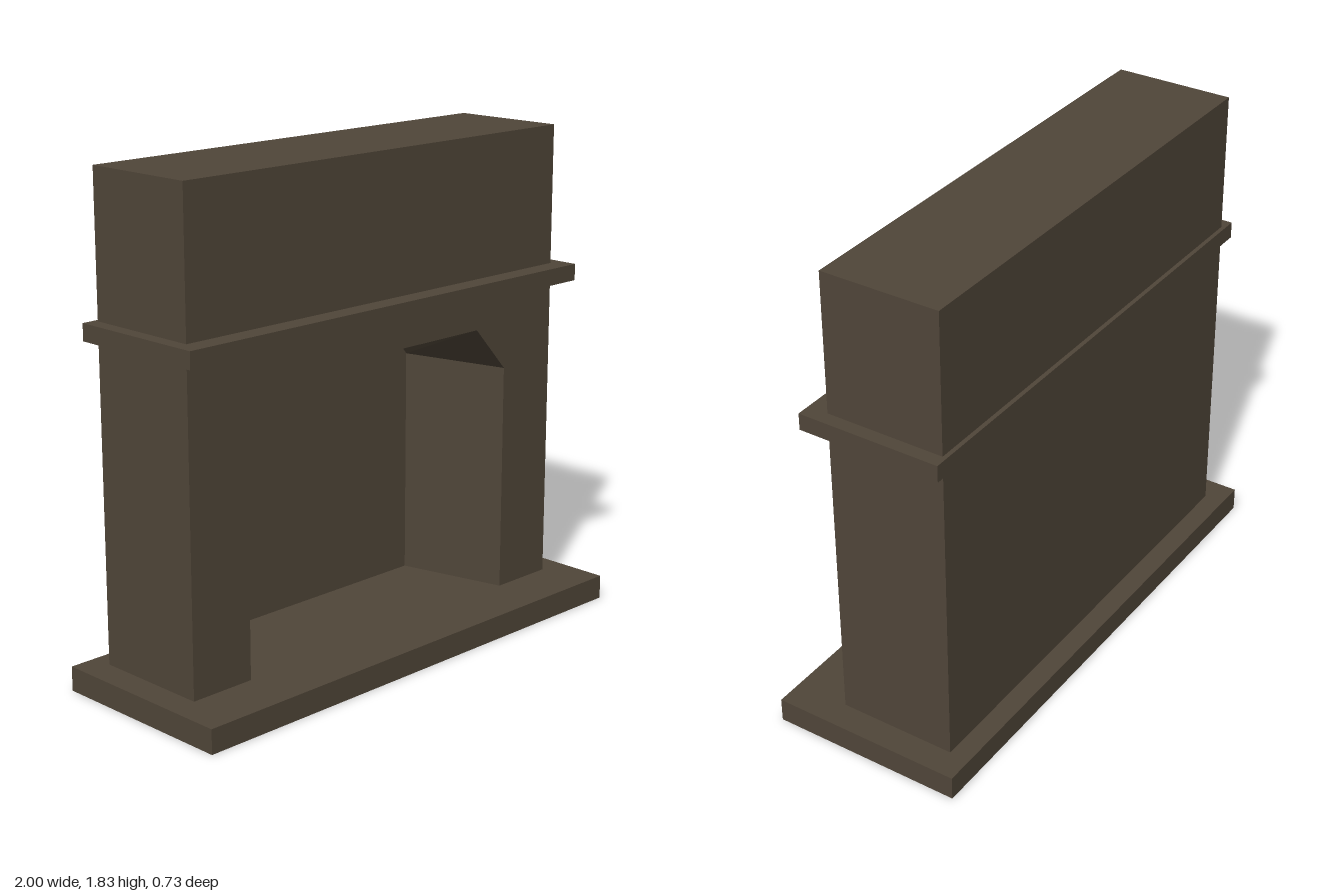
import * as THREE from 'three';

export function createModel() {
  const model = new THREE.Group();
  model.name = 'fireplace';
  const stone = new THREE.MeshStandardMaterial({ color: 0x504639 });
  stone.name = 'dark stone';

  const add = (name, geometry) => {
    const mesh = new THREE.Mesh(geometry, stone);
    mesh.name = name;
    model.add(mesh);
  };
  // Box given by its half width and its y and z limits
  const slab = (name, halfWidth, y0, y1, z0, z1) => {
    const geometry = new THREE.BoxGeometry(halfWidth * 2, y1 - y0, z1 - z0);
    add(name, geometry.translate(0, (y0 + y1) / 2, (z0 + z1) / 2));
  };

  const base = 0.09, top = 1.83, front = 0.16, recess = -0.25, back = -0.287;

  slab('hearth', 1, 0, base, -0.365, 0.365);
  slab('mantelShelf', 0.948, 1.248, 1.31, -0.303, 0.237);
  slab('backWall', 0.897, base, top, back, recess);

  // Chimney breast with a chamfered firebox opening
  const outline = [
    [-0.897, base], [-0.642, base], [-0.642, 0.95], [-0.487, 1.12],
    [0.487, 1.12], [0.642, 0.95], [0.642, base], [0.897, base],
    [0.897, top], [-0.897, top],
  ];
  const shape = new THREE.Shape(outline.map(([x, y]) => new THREE.Vector2(x, y)));
  const breast = new THREE.ExtrudeGeometry(shape, { depth: front - recess, bevelEnabled: false });
  breast.translate(0, 0, recess);

  // Narrow the firebox towards its back
  const p = breast.attributes.position;
  for (let i = 0; i < p.count; i++) {
    if (Math.abs(p.getX(i)) < 0.7 && p.getZ(i) < 0) p.setX(i, p.getX(i) * 0.853);
  }
  breast.computeVertexNormals();
  add('chimneyBreast', breast);

  return model;
}
